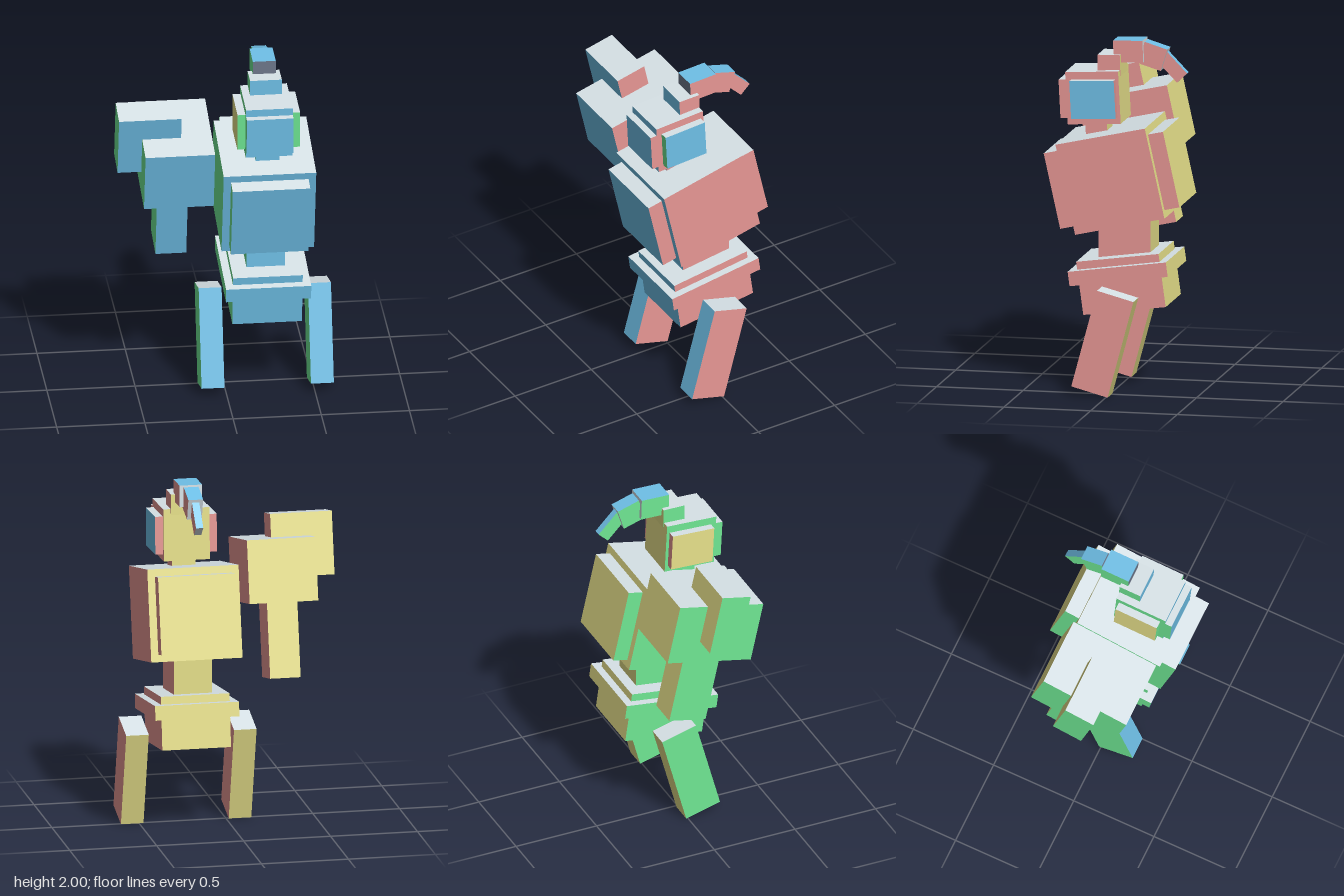
import * as THREE from 'three';

export function createModel() {
  const model = new THREE.Group();
  model.name = 'blockFigure';

  const paint = (name, color) => {
    const m = new THREE.MeshStandardMaterial({ color });
    m.name = name;
    return m;
  };
  // One colour per box face: +x, -x, +y, -y, +z, -z
  const faces = [
    paint('pink', 0xffa7a4),
    paint('green', 0x7bffa3),
    paint('paleWhite', 0xecf8fd),
    paint('slate', 0x6e788c),
    paint('skyBlue', 0x7bd4ff),
    paint('paleYellow', 0xfff899),
  ];

  const rad = THREE.MathUtils.degToRad;
  const block = (name, size, centre, pitch = 0, turn = 0) => {
    const mesh = new THREE.Mesh(new THREE.BoxGeometry(...size), faces);
    mesh.name = name;
    mesh.position.set(...centre);
    mesh.rotation.set(rad(pitch), rad(turn), 0);
    model.add(mesh);
  };
  const mid = 0.23; // centre line of the body
  const lean = 12.5; // forward lean of the upper body

  // Legs
  for (const [name, x] of [['rightLeg', -0.08], ['leftLeg', 0.54]]) {
    block(name, [0.13, 0.575, 0.217], [x, 0.31, 0.02], -15);
  }

  // Hips and waist
  block('pelvis', [0.395, 0.306, 0.48], [mid, 0.622, -0.048], 7.8);
  block('belt', [0.483, 0.083, 0.572], [mid, 0.688, -0.039], 7.8);
  block('waist', [0.22, 0.3, 0.3], [mid, 0.85, -0.05]);

  // Torso, with one block showing as both chest and back plates
  block('torso', [0.525, 0.525, 0.528], [mid, 1.222, 0.001], lean);
  block('chestAndBackPlate', [0.44, 0.44, 0.705], [mid, 1.222, 0.001], lean);

  // Right arm
  block('shoulder', [0.395, 0.36, 0.528], [-0.278, 1.442, 0.0185], lean);
  block('shoulderGuard', [0.355, 0.36, 0.179], [-0.4325, 1.5715, 0.0485], lean);
  block('arm', [0.175, 0.433, 0.23], [-0.297, 1.053, -0.067], lean);

  // Head
  block('neck', [0.135, 0.14, 0.125], [mid, 1.48, 0.122], 3);
  block('head', [0.265, 0.3, 0.306], [mid, 1.673, 0.128], 3);
  block('faceMask', [0.265, 0.22, 0.042], [mid, 1.661, 0.3], 3);
  // The ear block lies crosswise through the head
  block('earBlock', [0.257, 0.218, 0.355], [mid, 1.67, 0.121], 3, 90);

  // Crest curling backwards
  block('crestBase', [0.18, 0.12, 0.13], [mid, 1.855, 0.045], 1);
  block('crestTop', [0.13, 0.17, 0.125], [mid, 1.934, -0.06], -88);
  block('crestMiddle', [0.085, 0.136, 0.13], [mid, 1.908, -0.197], -107);
  block('crestTip', [0.042, 0.172, 0.08], [mid, 1.848, -0.302], -136);

  return model;
}
